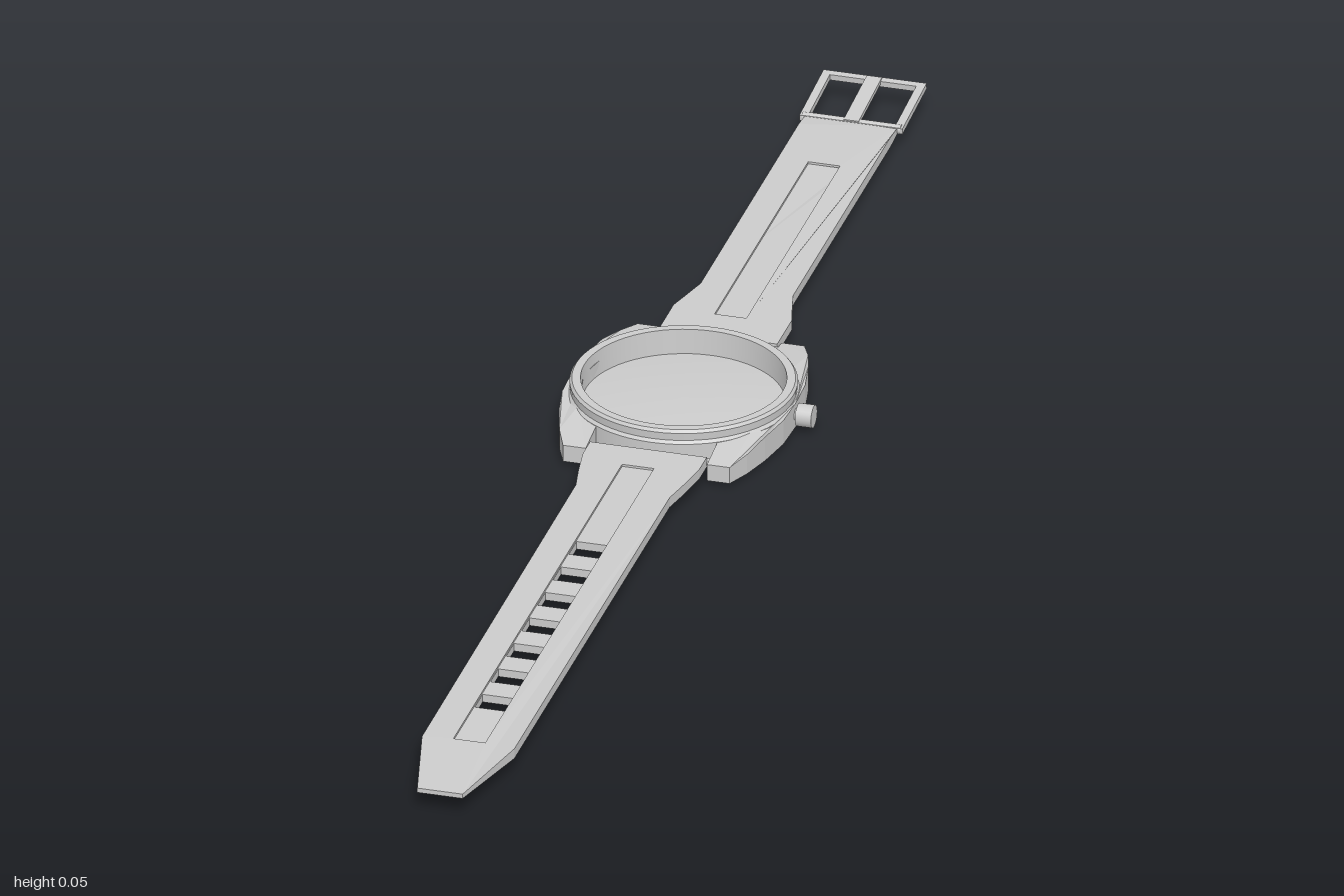
import * as THREE from 'three';

const CX = -0.012, CZ = -0.12; // centre of the watch case
const mat = new THREE.MeshStandardMaterial({ color: 0xcccccc, side: THREE.DoubleSide });

function add(parent, name, geometry, x = 0, y = 0, z = 0) {
  const mesh = new THREE.Mesh(geometry, mat);
  mesh.name = name;
  mesh.position.set(x, y, z);
  parent.add(mesh);
  return mesh;
}

const v2 = (pts) => pts.map(([x, y]) => new THREE.Vector2(x, y));
const rect = (x0, x1, z0, z1) => v2([[x0, z0], [x1, z0], [x1, z1], [x0, z1]]);

// Plate lying in the x-z plane between heights y0 and y1
function plate(outline, holes, y0, y1) {
  const shape = new THREE.Shape(outline);
  holes.forEach((h) => shape.holes.push(new THREE.Path(h)));
  const g = new THREE.ExtrudeGeometry(shape, { depth: y1 - y0, bevelEnabled: false });
  return g.rotateX(Math.PI / 2).translate(0, y1, 0);
}

// Reshape heights by a rule y = f(x, y, z)
function bend(g, f) {
  const p = g.attributes.position;
  for (let i = 0; i < p.count; i++) p.setY(i, f(p.getX(i), p.getY(i), p.getZ(i)));
  g.computeVertexNormals();
  return g;
}

// Symmetric outline from half widths [halfWidth, z]
function mirrored(half) {
  return v2([...half, ...half.map(([x, z]) => [-x, z]).reverse()]);
}

// Revolved part with sharp edges: every profile segment is its own surface
function turned(parent, name, profile) {
  const group = new THREE.Group();
  group.name = name;
  for (let i = 0; i < profile.length - 1; i++) {
    add(group, name + 'Band', new THREE.LatheGeometry(v2([profile[i], profile[i + 1]]), 64));
  }
  group.position.set(CX, 0, CZ);
  parent.add(group);
}

function buildCase(root) {
  turned(root, 'caseBody', [[0, 0], [0.134, 0], [0.136, 0.005], [0.142, 0.005],
    [0.148, 0.009], [0.148, 0.036], [0.144, 0.04]]);
  turned(root, 'bezel', [[0.144, 0.036], [0.145, 0.05], [0.142, 0.054], [0.131, 0.054], [0.129, 0.02]]);

  // Slightly domed dial at the bottom of the recess
  const dome = [];
  for (let i = 0; i <= 8; i++) dome.push([0.13 * (1 - i / 8), 0.02 + 0.007 * (1 - (1 - i / 8) ** 2)]);
  add(root, 'dial', new THREE.LatheGeometry(v2(dome), 64), CX, 0, CZ);

  // Side flanks, each ending in two lugs that slope down
  for (const s of [-1, 1]) {
    const flank = v2([[0.148, 0], [0.146, 0.05], [0.136, 0.1], [0.124, 0.14], [0.11, 0.172], [0.08, 0.172],
      [0.08, 0.122], [0.115, 0.08], [0.132, 0], [0.115, -0.08], [0.08, -0.122],
      [0.08, -0.172], [0.11, -0.172], [0.124, -0.14], [0.136, -0.1], [0.146, -0.05]]);
    flank.forEach((p) => { p.x *= s; });
    const g = bend(plate(flank, [], 0.005, 0.039), (x, y, z) => {
      const t = Math.max(0, (Math.abs(z) - 0.1) / 0.072);
      return y > 0.02 ? y - 0.011 * t : y;
    });
    add(root, s > 0 ? 'leftLugs' : 'rightLugs', g, CX, 0, CZ);
    // Pin holding the strap between the lugs
    const pin = add(root, 'springBar', new THREE.CylinderGeometry(0.005, 0.005, 0.165, 12), CX, 0.024, CZ + s * 0.158);
    pin.rotation.z = Math.PI / 2;
  }

  // Winding crown with a ribbed edge
  const stem = add(root, 'crownStem', new THREE.CylinderGeometry(0.008, 0.008, 0.02, 16), 0.138, 0.023, CZ);
  const crown = add(root, 'crown', new THREE.CylinderGeometry(0.015, 0.015, 0.021, 24), 0.1495, 0.023, CZ);
  stem.rotation.z = crown.rotation.z = Math.PI / 2;
}

// Strap of a lower layer with holes and an upper layer with one long groove
function buildStrap(root, name, half, groove, holes, rule) {
  const group = new THREE.Group();
  group.name = name;
  add(group, name + 'Base', bend(plate(mirrored(half), holes, 0.019, 0.03), rule));
  add(group, name + 'Top', bend(plate(mirrored(half), [groove], 0.03, 0.033), rule));
  group.position.x = CX;
  root.add(group);
}

function buildBuckle(root) {
  const buckle = new THREE.Group();
  buckle.name = 'buckle';
  const frame = plate(rect(-0.068, 0.068, -0.107, 0.005), [rect(-0.057, 0.057, -0.097, -0.005)], -0.004, 0.004);
  add(buckle, 'buckleFrame', frame);
  add(buckle, 'buckleTongue', new THREE.BoxGeometry(0.02, 0.006, 0.108), 0, 0.003, -0.05);
  const bar = add(buckle, 'buckleBar', new THREE.CylinderGeometry(0.006, 0.006, 0.13, 12));
  bar.rotation.z = Math.PI / 2;
  buckle.position.set(CX, 0.027, -0.893);
  buckle.rotation.x = 0.08;
  root.add(buckle);
}

export function createModel() {
  const root = new THREE.Group();
  root.name = 'wristwatch';
  buildCase(root);

  // Long strap with adjustment holes and a thin pointed tip
  const holes = [];
  for (let i = 0; i < 7; i++) {
    const z = 0.32 + i * 0.072;
    holes.push(rect(-0.02, 0.02, z - 0.018, z + 0.018));
  }
  buildStrap(root, 'longStrap',
    [[0.077, 0.042], [0.077, 0.075], [0.07, 0.12], [0.062, 0.16], [0.061, 0.87], [0.03, 1]],
    rect(-0.021, 0.021, 0.09, 0.865), holes,
    (x, y, z) => (z > 0.9 ? 0.026 + (y - 0.026) * 0.45 : y));

  // Short strap carrying the buckle
  buildStrap(root, 'shortStrap',
    [[0.061, -0.895], [0.061, -0.86], [0.061, -0.41], [0.07, -0.375], [0.078, -0.345], [0.078, -0.278]],
    rect(-0.021, 0.021, -0.765, -0.335), [],
    (x, y, z) => (z < -0.88 ? 0.026 + (y - 0.026) * 0.5 : y));
  buildBuckle(root);
  return root;
}
